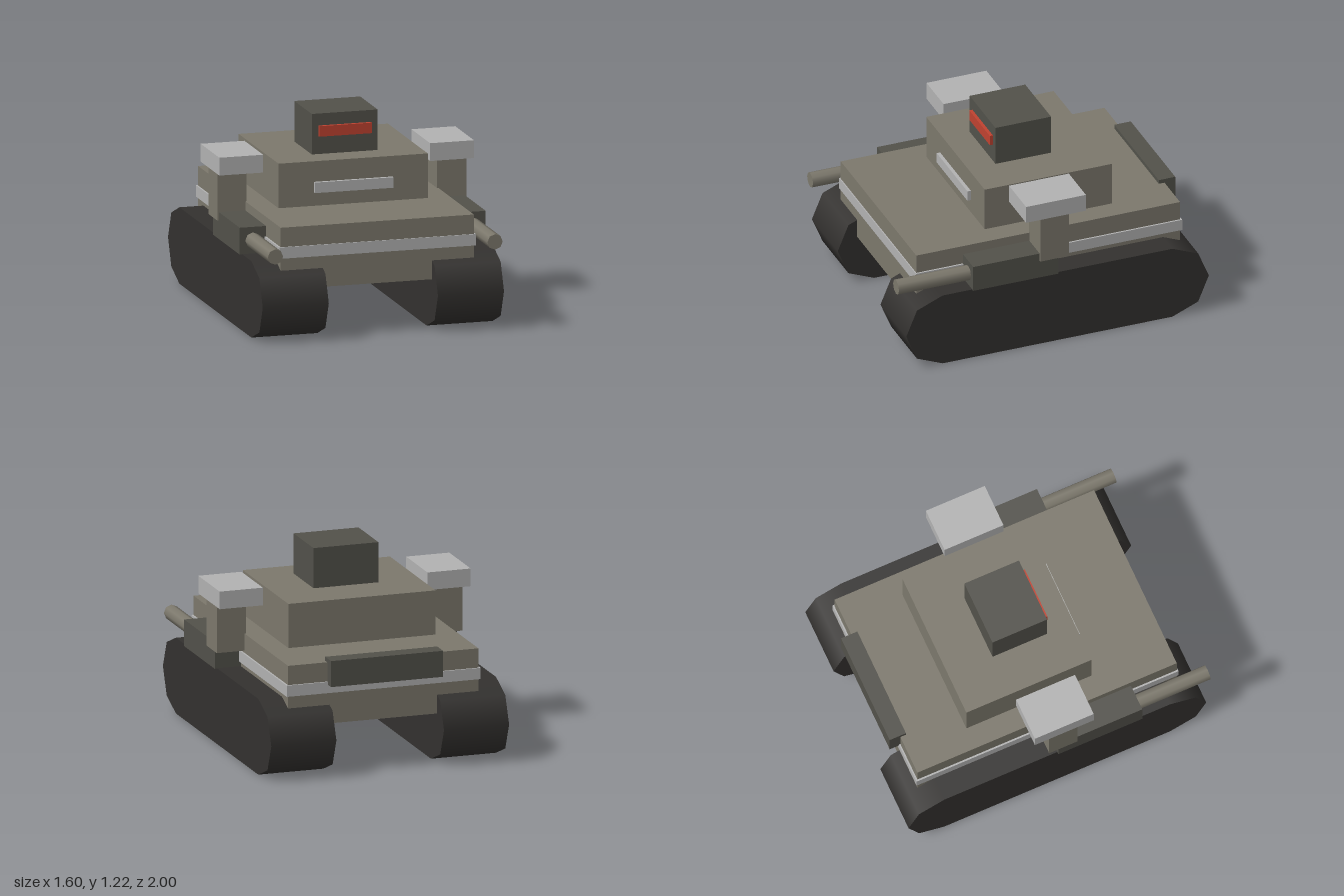
import * as THREE from 'three';

const paint = (color) => new THREE.MeshStandardMaterial({ color });

export function createModel() {
  const model = new THREE.Group();
  const armour = paint(0x7c786c);
  const darkArmour = paint(0x52514a);
  const rubber = paint(0x33312f);
  const trim = paint(0xb2b2b2);
  const red = paint(0xbf4230);

  const add = (name, geometry, material, parent = model) => {
    const mesh = new THREE.Mesh(geometry, material);
    mesh.name = name;
    parent.add(mesh);
    return mesh;
  };
  // Box given by its lower and upper limits on each axis
  const box = (name, material, [x0, x1], [y0, y1], [z0, z1], parent) => {
    const mesh = add(name, new THREE.BoxGeometry(x1 - x0, y1 - y0, z1 - z0), material, parent);
    mesh.position.set((x0 + x1) / 2, (y0 + y1) / 2, (z0 + z1) / 2);
    return mesh;
  };

  // Body, stacked from the hull up
  box('hull', armour, [-0.607, 0.607], [0.31, 0.692], [-0.875, 0.835]);
  box('hullBelt', trim, [-0.618, 0.618], [0.502, 0.572], [-0.885, 0.842]);
  box('rearPlate', darkArmour, [-0.357, 0.357], [0.555, 0.717], [-0.945, -0.838]);
  box('upperBody', armour, [-0.469, 0.469], [0.69, 0.967], [-0.49, 0.336]);
  box('chestBar', trim, [-0.247, 0.247], [0.775, 0.84], [0.32, 0.358]);
  box('head', darkArmour, [-0.207, 0.207], [0.965, 1.217], [-0.2, 0.16]);
  box('visor', red, [-0.165, 0.165], [1.078, 1.143], [0.14, 0.18]);

  for (const side of [-1, 1]) {
    const label = side > 0 ? 'left' : 'right';
    const span = (a, b) => (side > 0 ? [a, b] : [-b, -a]);

    // Track: straight run with a faceted half round at each end
    const track = new THREE.Group();
    track.name = label + 'Track';
    model.add(track);
    const r = 0.236, reach = 0.745, middle = -0.02;
    box('trackRun', rubber, span(0.343, 0.758), [0, 2 * r], [middle - reach, middle + reach], track);
    for (const end of [-1, 1]) {
      const start = end > 0 ? -Math.PI / 2 : Math.PI / 2;
      const round = new THREE.CylinderGeometry(r, r, 0.415, 4, 1, false, start, Math.PI);
      round.rotateZ(Math.PI / 2);
      add('trackEnd', round, rubber, track).position.set(side * 0.5505, r, middle + end * reach);
    }

    // Shoulder, forearm and gun
    const arm = new THREE.Group();
    arm.name = label + 'Arm';
    model.add(arm);
    box('upperArm', armour, span(0.598, 0.783), [0.585, 0.89], [-0.085, 0.102], arm);
    box('shoulderPad', trim, span(0.525, 0.8), [0.886, 0.996], [-0.187, 0.201], arm);
    box('forearm', darkArmour, span(0.607, 0.773), [0.47, 0.636], [-0.02, 0.533], arm);
    const barrel = new THREE.CylinderGeometry(0.048, 0.048, 0.52, 8);
    barrel.rotateX(Math.PI / 2);
    add('gunBarrel', barrel, armour, arm).position.set(side * 0.69, 0.554, 0.74);
  }
  return model;
}
